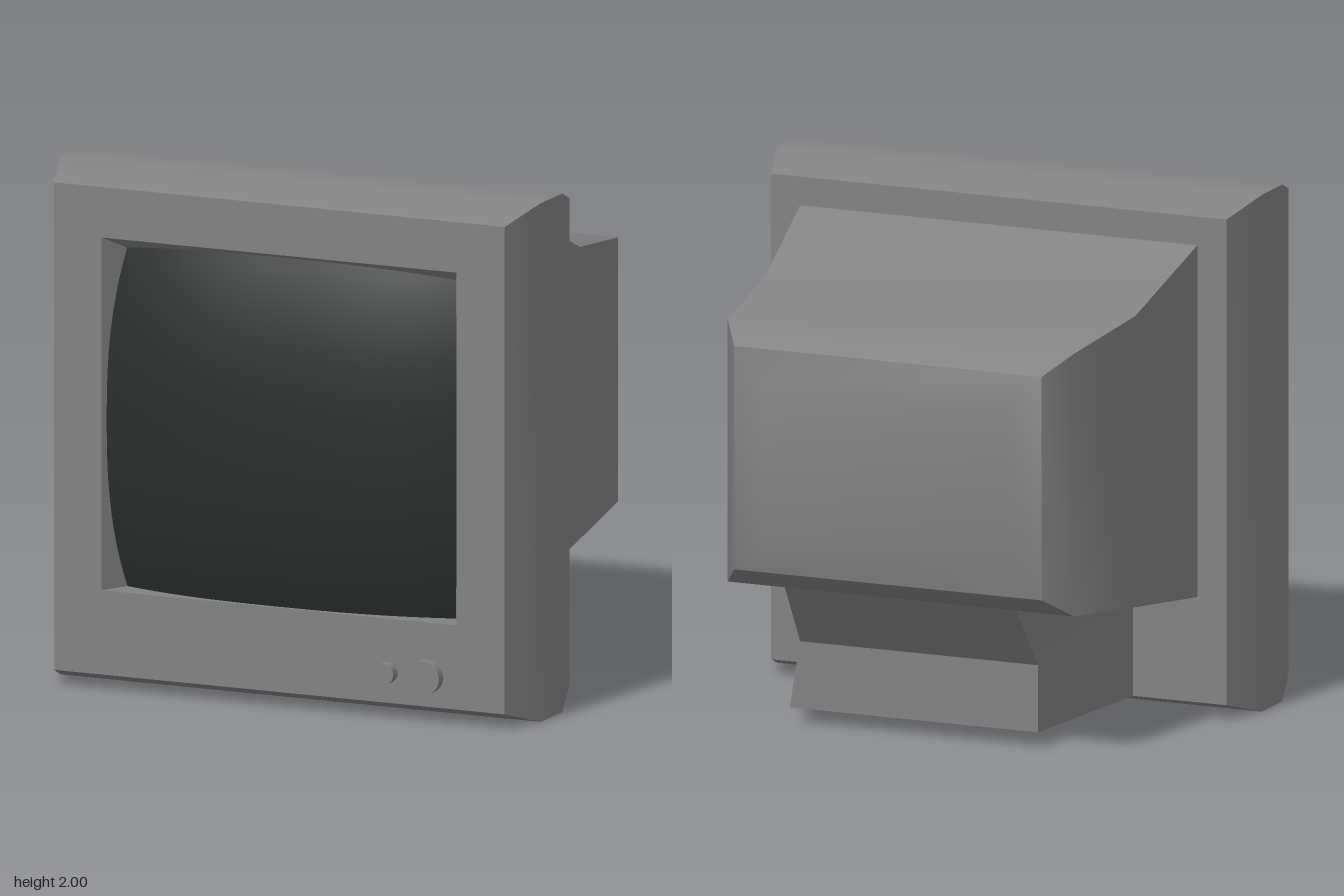
import * as THREE from 'three';
import { toCreasedNormals } from 'three/addons/utils/BufferGeometryUtils.js';

const grey = new THREE.MeshStandardMaterial({ color: 0x828282 });
const dark = new THREE.MeshStandardMaterial({ color: 0x292f2c });

function mesh(name, geometry, material = grey) {
  const m = new THREE.Mesh(geometry, material);
  m.name = name;
  return m;
}

function solid(points, index) {
  const g = new THREE.BufferGeometry();
  g.setAttribute('position', new THREE.Float32BufferAttribute(points.flat(), 3));
  g.setIndex(index);
  return toCreasedNormals(g, 0.58);
}

// Skins rectangular sections [z, half width, bottom, top].
// Rising z faces outward, falling z faces inward.
function loftRects(sections, capStart) {
  const points = [], index = [];
  sections.forEach(([z, w, y0, y1], s) => {
    points.push([-w, y0, z], [w, y0, z], [w, y1, z], [-w, y1, z]);
    if (s === 0) return;
    for (let i = 0; i < 4; i++) {
      const a = (s - 1) * 4 + i, b = (s - 1) * 4 + (i + 1) % 4;
      index.push(a, b, b + 4, a, b + 4, a + 4);
    }
  });
  if (capStart) index.push(0, 3, 2, 0, 2, 1);
  return solid(points, index);
}

function rectPath(path, w, y0, y1) {
  path.moveTo(-w, y0);
  path.lineTo(w, y0);
  path.lineTo(w, y1);
  path.lineTo(-w, y1);
  path.closePath();
  return path;
}

export function createModel() {
  const group = new THREE.Group();
  group.name = 'monitor';

  // Bevelled frame around the screen
  group.add(mesh('frame', loftRects([
    [0.207, 0.94, 0.06, 1.94],
    [0.40, 1, 0, 2],
    [0.59, 1, 0, 2],
    [0.78, 0.94, 0.06, 1.94],
  ], true)));

  // Front panel with the screen opening
  const panel = rectPath(new THREE.Shape(), 0.94, 0.06, 1.94);
  panel.holes.push(rectPath(new THREE.Path(), 0.74, 0.385, 1.745));
  const front = mesh('frontPanel', new THREE.ShapeGeometry(panel));
  front.position.z = 0.78;
  group.add(front);

  // Sloping walls of the opening
  group.add(mesh('screenRecess', loftRects([
    [0.78, 0.74, 0.385, 1.745],
    [0.64, 0.67, 0.385, 1.675],
  ], false)));

  // Bulging glass
  const glass = new THREE.PlaneGeometry(1.48, 1.36, 24, 24);
  glass.translate(0, 1.065, 0);
  const p = glass.attributes.position;
  for (let i = 0; i < p.count; i++) {
    const x = Math.abs(p.getX(i)), y = Math.abs(p.getY(i) - 1.04);
    p.setZ(i, 0.868 - 0.24 * x ** 2.5 - 0.303 * y ** 2.5);
  }
  glass.computeVertexNormals();
  group.add(mesh('screen', glass, dark));

  // Tapering tube housing with a chamfered back
  group.add(mesh('rearHousing', loftRects([
    [-0.865, 0.50, 0.79, 1.38],
    [-0.82, 0.635, 0.655, 1.52],
    [-0.70, 0.715, 0.575, 1.592],
    [-0.25, 0.767, 0.52, 1.647],
    [0.21, 0.82, 0.467, 1.83],
  ], true)));

  // Foot under the housing: side outline [z, y, right x, left x]
  const outline = [
    [0.21, 0.06, -0.555, 0.555],
    [-0.495, 0.06, -0.475, 0.55],
    [-0.495, 0.32, -0.475, 0.507],
    [-0.70, 0.578, -0.475, 0.48],
    [0.21, 0.475, -0.555, 0.555],
  ];
  const points = [], index = [];
  outline.forEach(([z, y, right, left], i) => {
    points.push([right, y, z], [left, y, z]);
    const a = 2 * i, b = 2 * ((i + 1) % outline.length);
    index.push(a, b, b + 1, a, b + 1, a + 1);
  });
  for (const [a, b, c] of [[2, 3, 4], [2, 4, 0], [2, 0, 1]]) {
    index.push(2 * a + 1, 2 * b + 1, 2 * c + 1, 2 * a, 2 * c, 2 * b);
  }
  group.add(mesh('foot', solid(points, index)));

  // Control knobs
  for (const [name, x, r] of [['smallKnob', 0.453, 0.04], ['largeKnob', 0.618, 0.065]]) {
    const knob = mesh(name, new THREE.CylinderGeometry(r, r, 0.045, 24));
    knob.rotation.x = Math.PI / 2;
    knob.position.set(x, 0.178, 0.795);
    group.add(knob);
  }

  return group;
}
